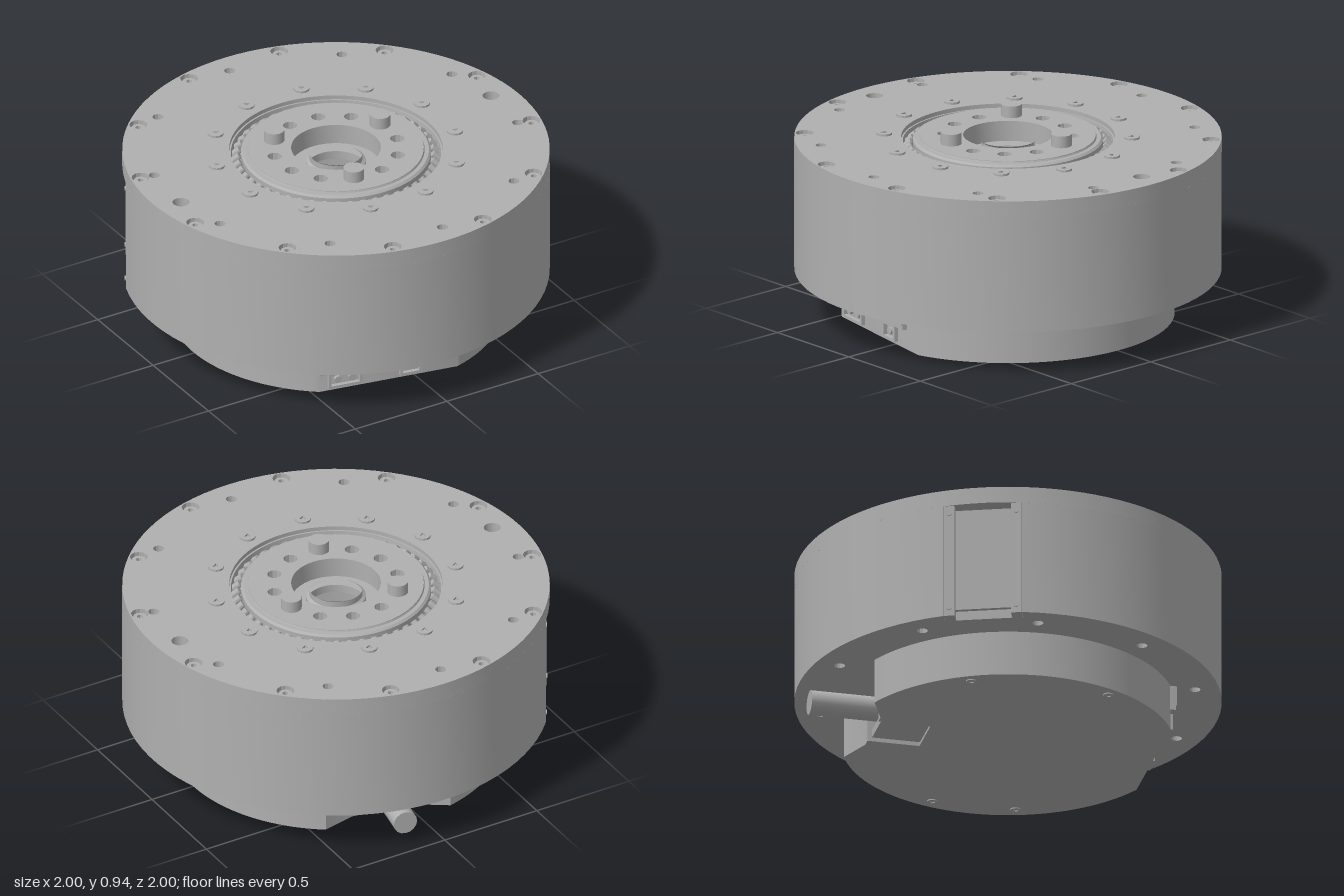
import * as THREE from 'three';
import { toCreasedNormals } from 'three/addons/utils/BufferGeometryUtils.js';

const rad = THREE.MathUtils.degToRad;
const steel = new THREE.MeshStandardMaterial({ color: 0xb0b0b0 });
steel.name = 'steel grey';

function add(parent, name, geo, x = 0, y = 0, z = 0) {
  const m = new THREE.Mesh(geo, steel);
  m.name = name;
  m.position.set(x, y, z);
  parent.add(m);
  return m;
}
// closed round or polygonal hole
function hole(x, y, r, n = 16, start = 0) {
  const p = new THREE.Path();
  for (let i = 0; i < n; i++) {
    const a = start + (i / n) * Math.PI * 2;
    p[i ? 'lineTo' : 'moveTo'](x + r * Math.cos(a), y + r * Math.sin(a));
  }
  p.closePath();
  return p;
}
const disc = (r, n = 72) => new THREE.Shape(hole(0, 0, r, n).getPoints());
// vertical slab between two heights; shape y points to the back (-z)
function slab(shape, y0, y1, segments = 40) {
  const g = new THREE.ExtrudeGeometry(shape, { depth: y1 - y0, bevelEnabled: false, curveSegments: segments });
  g.rotateX(-Math.PI / 2);
  g.translate(0, y0, 0);
  return toCreasedNormals(g, 0.5);
}
// calls fn(x, y, angle, index) around a circle, in shape coordinates
function around(n, r, startDeg, fn) {
  for (let i = 0; i < n; i++) {
    const a = rad(startDeg) + (i / n) * Math.PI * 2;
    fn(r * Math.cos(a), r * Math.sin(a), a, i);
  }
}
// screw head with a socket
function screwGeo(r, h, sides, socketR, socketSides) {
  const s = disc(r, sides);
  s.holes.push(hole(0, 0, socketR, socketSides));
  return slab(s, 0, h);
}
const lathe = (pts, n = 72) =>
  toCreasedNormals(new THREE.LatheGeometry(pts.map(p => new THREE.Vector2(...p)), n), 0.5);

const WINDOW = 149; // bearing of the side pocket in degrees

function buildHousing(root) {
  const g = new THREE.Group();
  g.name = 'housing';
  root.add(g);
  const through = s => around(10, 0.885, 93, (x, y) => s.holes.push(hole(x, y, 0.026, 12)));

  // drum wall with the side pocket
  const a = rad(WINDOW), half = 0.185, floor = 0.925, d = Math.asin(half);
  const body = new THREE.Shape();
  body.absarc(0, 0, 1, a + d, a + Math.PI * 2 - d, false);
  for (const t of [-half, half])
    body.lineTo(floor * Math.cos(a) - t * Math.sin(a), floor * Math.sin(a) + t * Math.cos(a));
  body.closePath();
  body.holes.push(hole(0, 0, 0.5, 72));
  through(body);
  add(g, 'drum', slab(body, 0.225, 0.79));

  // top cover with counterbores and two larger blind holes
  const cap = disc(1, 96);
  cap.holes.push(hole(0, 0, 0.5, 72));
  through(cap);
  around(2, 0.88, 3.3, (x, y) => cap.holes.push(hole(x, y, 0.04)));
  around(12, 0.952, 15, (x, y) => cap.holes.push(hole(x, y, 0.042, 12)));
  add(g, 'topCover', slab(cap, 0.79, 0.87));

  const rimScrew = screwGeo(0.032, 0.065, 16, 0.015, 6);
  around(12, 0.952, 15, (x, y) => add(g, 'rimScrew', rimScrew, x, 0.79, -y));
  const coverScrew = screwGeo(0.038, 0.012, 12, 0.018, 3);
  around(12, 0.58, 15, (x, y) => add(g, 'coverScrew', coverScrew, x, 0.868, -y));

  // rails and panel in the side pocket
  const w = new THREE.Group();
  w.name = 'sidePocket';
  w.rotation.y = a + Math.PI / 2;
  g.add(w);
  add(w, 'pocketPanel', new THREE.BoxGeometry(0.27, 0.51, 0.03), 0, 0.525, 0.93);
  const dot = new THREE.CylinderGeometry(0.012, 0.012, 0.008, 10).rotateX(Math.PI / 2);
  for (const s of [-1, 1]) {
    add(w, 'pocketRail', new THREE.BoxGeometry(0.05, 0.565, 0.06), s * 0.158, 0.5075, 0.953);
    for (const y of [0.265, 0.75]) add(w, 'railScrew', dot, s * 0.158, y, 0.985);
  }
}

function buildHub(root) {
  const g = new THREE.Group();
  g.name = 'hub';
  root.add(g);
  // bearing seat and slanted rollers
  add(g, 'bearingSeat', lathe([[0.5, 0.6], [0.5, 0.805], [0.43, 0.805]]));
  add(g, 'bearingRace', lathe([[0.5, 0.805], [0.5, 0.85], [0.492, 0.85], [0.487, 0.805]]));
  const roller = new THREE.CylinderGeometry(0.018, 0.018, 0.045, 8);
  around(48, 0.468, 0, (x, y, a) => {
    const m = add(g, 'roller', roller, x, 0.825, -y);
    m.rotation.set(0, a, rad(50), 'YXZ');
  });
  // shoulder around the output plate
  add(g, 'hubShoulder', lathe([[0.445, 0.7], [0.445, 0.858], [0.435, 0.868], [0.415, 0.868], [0.41, 0.878]]));

  // output plate: twelve positions, three of them carry pegs
  const plate = disc(0.411);
  plate.holes.push(hole(0, 0, 0.21, 48));
  const peg = new THREE.CylinderGeometry(0.049, 0.049, 0.13, 16);
  around(12, 0.298, 15, (x, y, a, i) => {
    if (i % 4 === 0) add(g, 'dowelPin', peg, x, 0.87, -y);
    else plate.holes.push(hole(x, y, 0.034, 10));
  });
  add(g, 'outputPlate', slab(plate, 0.78, 0.878));
  add(g, 'holeFloor', new THREE.CylinderGeometry(0.4, 0.4, 0.02, 48, 1, true), 0, 0.77, 0);
  const under = disc(0.4);
  under.holes.push(hole(0, 0, 0.135, 48));
  add(g, 'plateBacking', slab(under, 0.74, 0.78));
  // stepped centre bore
  add(g, 'centreBore', lathe([[0.21, 0.78], [0.21, 0.862], [0.14, 0.862], [0.125, 0.85],
    [0.125, 0.82], [0.14, 0.81], [0.14, 0.7], [0, 0.7]].reverse())).material = steel;
  const key = add(g, 'boreKey', new THREE.BoxGeometry(0.14, 0.009, 0.1), 0, 0.703, 0);
  key.rotation.y = rad(-10.7);
}

function buildBase(root) {
  const g = new THREE.Group();
  g.name = 'base';
  g.rotation.y = rad(-10.7);
  root.add(g);
  // round base with a flat front and a cable notch at the back
  const r = 0.78, f = Math.acos(0.7 / r), k = Math.asin(0.31 / r);
  const s = new THREE.Shape();
  s.absarc(0, 0, r, -Math.PI / 2 + f, Math.PI / 2 - k, false);
  for (const [x, y] of [[0.155, 0.65], [0.11, 0.65], [0.11, 0.4], [-0.11, 0.4], [-0.11, 0.65], [-0.155, 0.65]])
    s.lineTo(x, y);
  s.absarc(0, 0, r, Math.PI / 2 + k, Math.PI * 1.5 - f, false);
  s.closePath();
  add(g, 'baseBody', slab(s, 0.005, 0.23));
  add(g, 'innerFloor', new THREE.CylinderGeometry(0.52, 0.52, 0.02, 48), 0, 0.24, 0);

  // cable leaving the notch
  add(g, 'cableEntry', new THREE.BoxGeometry(0.2, 0.04, 0.24), 0, 0.04, -0.51);
  add(g, 'cable', new THREE.CylinderGeometry(0.058, 0.058, 0.55, 16).rotateX(Math.PI / 2), 0, 0.12, -0.68);

  // connector hood and sockets on the flat front
  add(g, 'connectorHood', new THREE.BoxGeometry(0.595, 0.1, 0.08), -0.054, 0.177, 0.69);
  add(g, 'hoodLip', new THREE.BoxGeometry(0.595, 0.024, 0.07), -0.054, 0.115, 0.69);
  for (const [x, w, pins] of [[-0.22, 0.17, 2], [0.107, 0.11, 1]]) {
    const frame = new THREE.Shape([[-1, -1], [1, -1], [1, 1], [-1, 1]].map(([u, v]) => new THREE.Vector2(u * w / 2, v * 0.04)));
    const b = w / 2 - 0.014;
    frame.holes.push(new THREE.Path([[-b, -0.028], [-b, 0.028], [b, 0.028], [b, -0.028]].map(p => new THREE.Vector2(...p))));
    add(g, 'socketFrame', new THREE.ExtrudeGeometry(frame, { depth: 0.022, bevelEnabled: false }), x, 0.062, 0.698);
    for (let i = 0; i < pins; i++)
      add(g, 'socketPin', new THREE.CylinderGeometry(0.018, 0.018, 0.016, 10).rotateX(Math.PI / 2),
        x + (i - (pins - 1) / 2) * 0.07, 0.062, 0.708);
  }

  // screws under the base
  const foot = screwGeo(0.026, 0.008, 12, 0.013, 6);
  for (const [x, z] of [[0.69, 0.2], [0.69, -0.2], [-0.645, 0.33], [-0.645, -0.33]])
    add(g, 'baseScrew', foot, x, 0, z);
}

export function createModel() {
  const root = new THREE.Group();
  root.name = 'rotaryActuator';
  buildHousing(root);
  buildHub(root);
  buildBase(root);
  return root;
}
